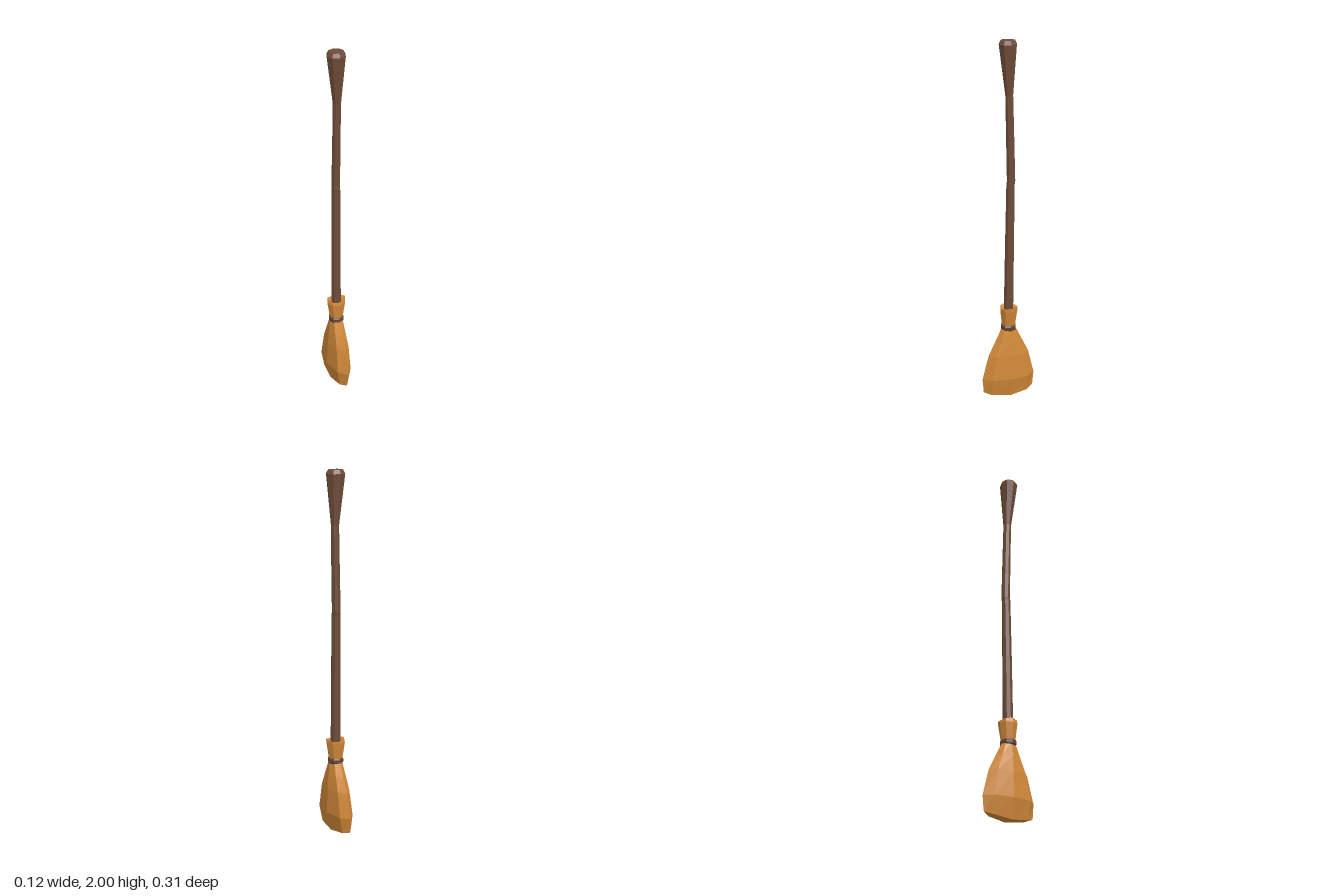
import * as THREE from 'three';

const SIDES = 8;

// Faceted loft through elliptical rings, listed bottom to top.
// Ring: y, rx, rz, cx, cz, lift (raises the front and back points of the ring).
function loft(rings, { bottom = true, top = true } = {}) {
  const pos = [];
  const point = (r, j) => {
    const a = (j / SIDES) * Math.PI * 2;
    const { y, rx, rz = rx, cx = 0, cz = 0, lift = 0 } = r;
    return [cx + rx * Math.sin(a), y + lift * Math.cos(a) ** 2, cz + rz * Math.cos(a)];
  };
  const centre = (r) => [r.cx ?? 0, r.y, r.cz ?? 0];
  const first = rings[0], last = rings[rings.length - 1];
  for (let j = 0; j < SIDES; j++) {
    for (let i = 0; i < rings.length - 1; i++) {
      const a = point(rings[i], j), b = point(rings[i], j + 1);
      const c = point(rings[i + 1], j + 1), d = point(rings[i + 1], j);
      pos.push(...a, ...b, ...c, ...a, ...c, ...d);
    }
    if (bottom) pos.push(...centre(first), ...point(first, j + 1), ...point(first, j));
    if (top) pos.push(...centre(last), ...point(last, j), ...point(last, j + 1));
  }
  const g = new THREE.BufferGeometry();
  g.setAttribute('position', new THREE.Float32BufferAttribute(pos, 3));
  g.computeVertexNormals(); // unshared corners give flat facets
  return g;
}

export function createModel() {
  const wood = new THREE.MeshStandardMaterial({ color: 0x6f4d39 });
  wood.name = 'brown wood';
  const straw = new THREE.MeshStandardMaterial({ color: 0xd48b3a });
  straw.name = 'golden straw';
  const cord = new THREE.MeshStandardMaterial({ color: 0x654638 });
  cord.name = 'dark cord';

  const model = new THREE.Group();
  model.name = 'broom';
  const add = (name, geometry, material) => {
    const mesh = new THREE.Mesh(geometry, material);
    mesh.name = name;
    model.add(mesh);
  };

  // Slightly bent handle with a flared, bevelled end and a small notch halfway
  add('handle', loft([
    { y: 0.45, rx: 0.028 },
    { y: 0.9, rx: 0.026, cx: 0.002, cz: -0.006 },
    { y: 1.235, rx: 0.024, cx: 0.004, cz: -0.011 },
    { y: 1.25, rx: 0.024, cx: 0.004, cz: -0.014 },
    { y: 1.5, rx: 0.023, cx: 0.005, cz: -0.008 },
    { y: 1.715, rx: 0.022, cx: 0.005, cz: -0.003 },
    { y: 1.98, rx: 0.052, rz: 0.05, cx: -0.002, cz: 0.002 },
    { y: 2.0, rx: 0.041, rz: 0.039, cx: -0.002, cz: 0.001 },
  ]), wood);

  // Wide flat brush, with the front and back corners lifted off the floor
  add('bristles', loft([
    { y: 0, rx: 0.034, rz: 0.147, cx: -0.003, lift: 0.028 },
    { y: 0.11, rx: 0.058, rz: 0.154, cx: -0.002 },
    { y: 0.25, rx: 0.053, rz: 0.118 },
    { y: 0.33, rx: 0.045, rz: 0.078 },
    { y: 0.41, rx: 0.036, rz: 0.038 },
  ]), straw);

  // Flared straw collar above the binding, dished around the handle
  add('collar', loft([
    { y: 0.41, rx: 0.036, rz: 0.037 },
    { y: 0.515, rx: 0.054, rz: 0.05, cx: 0.001, cz: -0.002 },
    { y: 0.538, rx: 0.053, rz: 0.049, cx: 0.003, cz: -0.003, lift: -0.012 },
    { y: 0.522, rx: 0.03 },
  ], { bottom: false }), straw);

  // Binding cord with bevelled edges
  add('binding', loft([
    { y: 0.396, rx: 0.038 },
    { y: 0.403, rx: 0.044 },
    { y: 0.42, rx: 0.044 },
    { y: 0.429, rx: 0.038 },
  ]), cord);

  return model;
}
